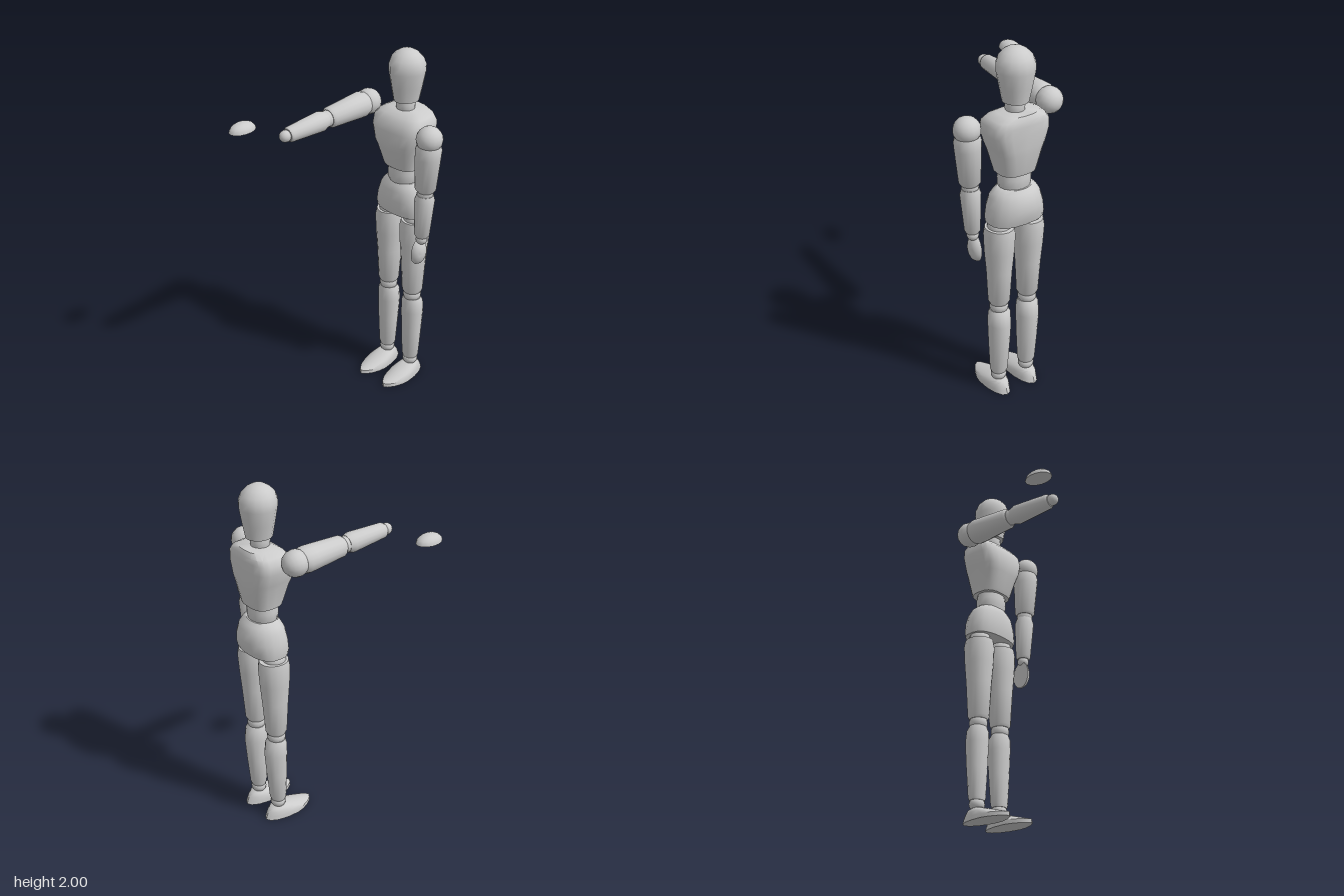
import * as THREE from 'three';
import { toCreasedNormals } from 'three/addons/utils/BufferGeometryUtils.js';

const material = new THREE.MeshStandardMaterial({ color: 0xcccccc });

// Closed loft from bottom to top; each section is
// [y, halfWidth, front, back, centreZ, exponentFront, exponentBack]
function loft(sections, sides = 16) {
  const pos = [], index = [];
  for (const [y, w, f = w, b = f, cz = 0, nf = 2, nb = nf] of sections) {
    for (let j = 0; j < sides; j++) {
      const a = (j / sides) * Math.PI * 2;
      const c = Math.cos(a), s = Math.sin(a), front = s > 0;
      const e = 2 / (front ? nf : nb);
      pos.push(
        Math.sign(c) * Math.abs(c) ** e * w, y,
        cz + Math.sign(s) * Math.abs(s) ** e * (front ? f : b));
    }
  }
  const last = sections.length - 1;
  for (let i = 0; i < last; i++) {
    for (let j = 0; j < sides; j++) {
      const k = (j + 1) % sides;
      const a = i * sides + j, b = i * sides + k;
      index.push(a, a + sides, b, b, a + sides, b + sides);
    }
  }
  // end caps
  const low = pos.length / 3;
  pos.push(0, sections[0][0], sections[0][4] ?? 0);
  pos.push(0, sections[last][0], sections[last][4] ?? 0);
  for (let j = 0; j < sides; j++) {
    const k = (j + 1) % sides;
    index.push(low, j, k, low + 1, last * sides + k, last * sides + j);
  }
  const g = new THREE.BufferGeometry();
  g.setAttribute('position', new THREE.Float32BufferAttribute(pos, 3));
  g.setIndex(index);
  return toCreasedNormals(g, 0.75);
}

function add(parent, name, geometry, x = 0, y = 0, z = 0) {
  const mesh = new THREE.Mesh(geometry, material);
  mesh.name = name;
  mesh.position.set(x, y, z);
  parent.add(mesh);
  return mesh;
}

function ball(r, ry = r, rz = r) {
  return new THREE.SphereGeometry(1, 16, 10).scale(r, ry, rz);
}

// Half egg with a flat palm on y = 0, long along x
function handGeometry() {
  const sections = [];
  for (let i = 0; i <= 6; i++) {
    const t = Math.min((i / 6) * Math.PI / 2, 1.54);
    sections.push([0.046 * Math.sin(t), 0.08 * Math.cos(t), 0.054 * Math.cos(t)]);
  }
  return loft(sections, 14);
}

// Arm hanging down from a shoulder at its origin
function makeArm(name) {
  const arm = new THREE.Group();
  arm.name = name;
  add(arm, 'shoulderBall', ball(0.071));
  add(arm, 'upperArm', loft([
    [-0.303, 0.046], [-0.288, 0.057], [-0.1, 0.069], [-0.06, 0.071], [-0.033, 0.062]]));
  add(arm, 'elbowBall', ball(0.045), 0, -0.314);
  add(arm, 'forearm', loft([
    [-0.586, 0.033], [-0.572, 0.042], [-0.36, 0.055], [-0.326, 0.045]]));
  add(arm, 'wristBall', ball(0.032), 0, -0.602);
  return arm;
}

function makeLeg(name) {
  const leg = new THREE.Group();
  leg.name = name;
  add(leg, 'hipBall', ball(0.062), 0, 1.04);
  add(leg, 'thigh', loft([
    [0.57, 0.05], [0.588, 0.058, 0.06], [0.78, 0.067, 0.072, 0.075], [0.9, 0.078, 0.08, 0.085],
    [1.0, 0.082, 0.083, 0.092], [1.038, 0.075, 0.076, 0.085]]));
  add(leg, 'kneeBall', ball(0.051), 0, 0.55);
  add(leg, 'shin', loft([
    [0.117, 0.043, 0.04], [0.135, 0.05, 0.043, 0.046], [0.3, 0.058, 0.05, 0.062],
    [0.44, 0.063, 0.054, 0.073], [0.505, 0.062, 0.053, 0.062], [0.53, 0.05, 0.045]]));
  add(leg, 'ankleBall', ball(0.044, 0.04, 0.042), 0, 0.098);
  // pointed toe, rounded heel, flat sole
  add(leg, 'foot', loft([
    [0, 0.068, 0.135, 0.178, 0.09, 1.6, 2], [0.022, 0.068, 0.133, 0.17, 0.09, 1.6, 2],
    [0.045, 0.061, 0.085, 0.13, 0.06, 1.8, 2], [0.064, 0.046, 0.06, 0.075, 0.02],
    [0.078, 0.026, 0.03, 0.03, 0.004]]));
  return leg;
}

export function createModel() {
  const model = new THREE.Group();
  model.name = 'posableFigure';

  const body = new THREE.Group();
  body.name = 'body';
  body.position.set(0.108, 0, -0.337);
  model.add(body);

  // Head tapers to the jaw and has a ridged face
  add(body, 'head', loft([
    [1.72, 0.067, 0.072, 0.076, 0, 1.7, 2], [1.8, 0.085, 0.089, 0.09, 0, 1.6, 2],
    [1.88, 0.101, 0.102, 0.102, 0, 1.6, 2], [1.915, 0.101, 0.1, 0.102, 0, 1.7, 2],
    [1.95, 0.087, 0.086, 0.088, 0, 1.8, 2], [1.977, 0.062, 0.06, 0.062],
    [1.993, 0.035, 0.034], [2.0, 0.006]], 16));
  add(body, 'neck', loft([
    [1.64, 0.045], [1.68, 0.05], [1.7, 0.052], [1.74, 0.045]]));

  add(body, 'chest', loft([
    [1.345, 0.103, 0.085, 0.09, 0, 2.8], [1.365, 0.107, 0.095, 0.096, 0, 2.8],
    [1.465, 0.13, 0.122, 0.11, 0, 3.2], [1.5, 0.141, 0.132, 0.113, 0, 3.5],
    [1.57, 0.163, 0.128, 0.114, 0, 3.6], [1.62, 0.163, 0.112, 0.114, 0, 3.6],
    [1.65, 0.142, 0.085, 0.112, 0, 3.4], [1.672, 0.1, 0.05, 0.1, 0, 3]], 20));
  add(body, 'waist', loft([
    [1.24, 0.08, 0.07], [1.275, 0.09, 0.076], [1.31, 0.092, 0.078], [1.36, 0.084, 0.07]]));
  add(body, 'pelvis', loft([
    [1.07, 0.157, 0.09, 0.108, 0, 2.5], [1.1, 0.161, 0.096, 0.119, 0, 2.5, 2.3],
    [1.155, 0.154, 0.097, 0.129, 0, 2.4, 2.1], [1.21, 0.138, 0.09, 0.117, 0, 2.3, 2.1],
    [1.24, 0.121, 0.08, 0.1], [1.26, 0.096, 0.068, 0.081]], 20));

  for (const side of [-1, 1]) {
    const leg = makeLeg(side > 0 ? 'leftLeg' : 'rightLeg');
    leg.position.x = side * 0.09;
    body.add(leg);
  }

  // Left arm hangs beside the body
  const leftArm = makeArm('leftArm');
  leftArm.position.set(0.339, 1.59, -0.266);
  leftArm.rotation.z = -0.045;
  model.add(leftArm);
  const leftHand = add(model, 'leftHand', handGeometry(), 0.289, 0.902, -0.264);
  leftHand.rotation.z = -Math.PI / 2 - 0.03;

  // Right arm reaches forward, its hand apart from the wrist
  const rightArm = makeArm('rightArm');
  rightArm.position.set(-0.126, 1.645, -0.3);
  rightArm.rotation.x = -Math.PI / 2;
  model.add(rightArm);
  const rightHand = add(model, 'rightHand', handGeometry(), -0.355, 1.63, 0.388);
  rightHand.rotation.y = Math.PI / 2;

  return model;
}
